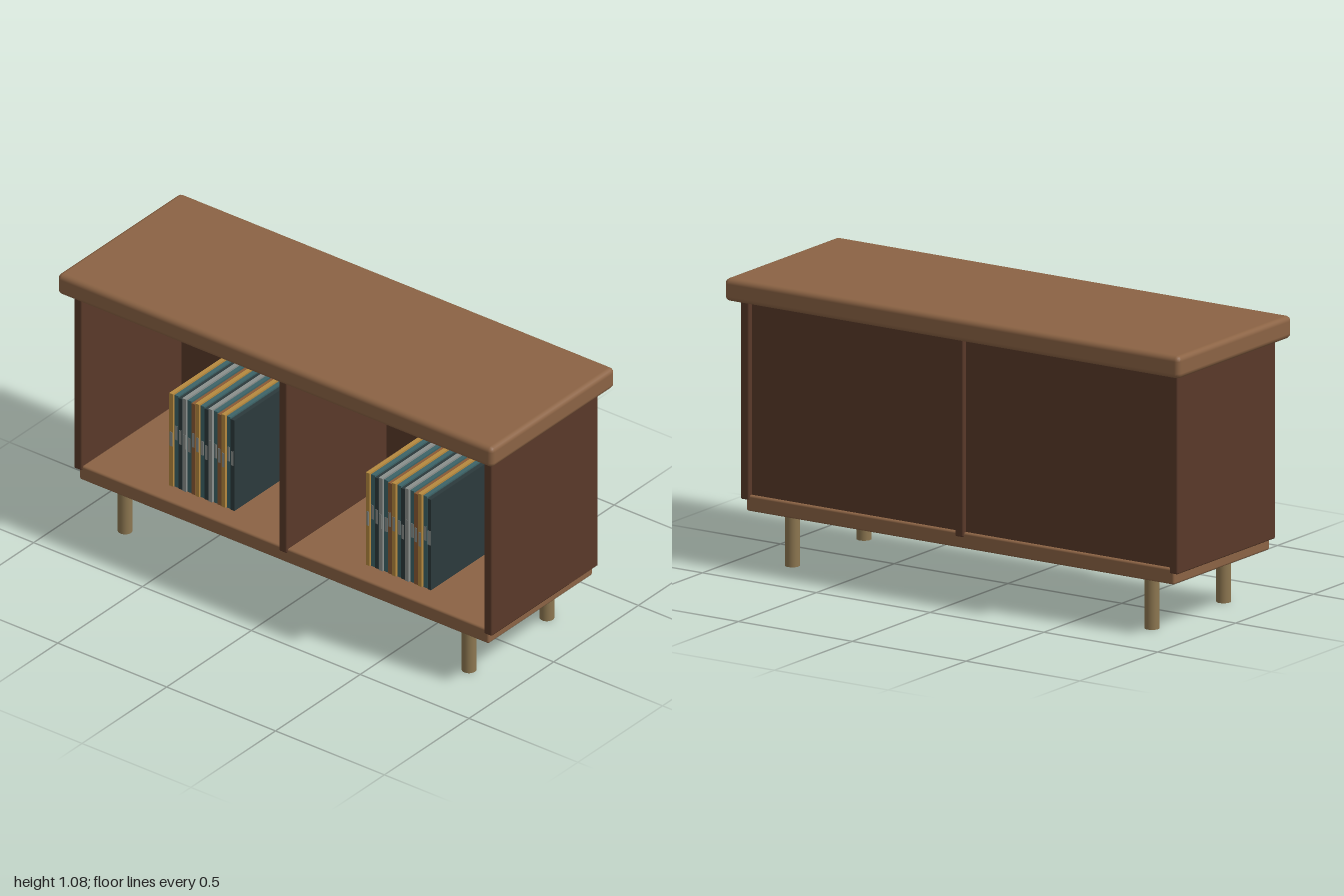
import * as THREE from 'three';
import { RoundedBoxGeometry } from 'three/addons/geometries/RoundedBoxGeometry.js';

const material = (color) => new THREE.MeshStandardMaterial({ color });
const wood = material(0x8b6344);
const darkWood = material(0x593929);
const legWood = material(0x8c7650);
const labelGrey = material(0x8a8f8c);
const coverMaterials = [0xb5893f, 0x3d6468, 0x2c3a3c, 0x8a8f8c, 0x3d6468, 0x8a5a34].map(material);

// Box given by its [min, max] on each axis, with optional rounded edges
function box(name, mat, [x0, x1], [y0, y1], [z0, z1], radius = 0) {
  const size = [x1 - x0, y1 - y0, z1 - z0];
  const geometry = radius
    ? new RoundedBoxGeometry(...size, 2, radius)
    : new THREE.BoxGeometry(...size);
  const mesh = new THREE.Mesh(geometry, mat);
  mesh.name = name;
  mesh.position.set((x0 + x1) / 2, (y0 + y1) / 2, (z0 + z1) / 2);
  return mesh;
}

// Row of thin square sleeves, spines towards -x, starting at z = 0
function createSleeves() {
  const row = new THREE.Group();
  row.name = 'sleeveRow';
  const count = 15;
  const pitch = 0.02;
  for (let i = 0; i < count; i++) {
    const z = i * pitch;
    const depth = [z, z + pitch - 0.003];
    const top = 0.652 - 0.004 * (i % 3);
    const front = -0.22 + 0.003 * ((i * 2) % 3);
    const mat = coverMaterials[i % coverMaterials.length];
    row.add(box('sleeve', mat, [front, 0.18], [0.26, top], depth));
    // Small spine label at a varying height
    const labelY = 0.43 + 0.03 * ((i * 3) % 4) / 3;
    row.add(box('spineLabel', labelGrey, [front - 0.001, front + 0.002],
      [labelY, labelY + 0.06], [z + 0.003, z + pitch - 0.006]));
  }
  return row;
}

export function createModel() {
  const model = new THREE.Group();
  model.name = 'sideboard';

  // Top and floor boards
  model.add(box('topBoard', wood, [-0.365, 0.365], [0.99, 1.075], [-1, 1], 0.02));
  model.add(box('floorBoard', wood, [-0.308, 0.308], [0.2, 0.26], [-0.94, 0.94], 0.008));

  // Upright panels: two ends and the divider
  for (const z of [-0.942, 0, 0.942]) {
    model.add(box(z ? 'endPanel' : 'divider', darkWood,
      [-0.315, 0.315], [0.243, 0.995], [z - 0.018, z + 0.018], 0.006));
  }

  // Recessed panel closing the +x side
  model.add(box('backPanel', darkWood, [0.275, 0.295], [0.25, 0.987], [-0.93, 0.93]));

  // Round legs
  const legGeometry = new THREE.CylinderGeometry(0.027, 0.027, 0.21, 24);
  for (const x of [-0.23, 0.23]) {
    for (const z of [-0.79, 0.79]) {
      const leg = new THREE.Mesh(legGeometry, legWood);
      leg.name = 'leg';
      leg.position.set(x, 0.105, z);
      model.add(leg);
    }
  }

  // One row of sleeves in each bay
  for (const z of [-0.595, 0.308]) {
    const row = createSleeves();
    row.position.z = z;
    model.add(row);
  }

  return model;
}
